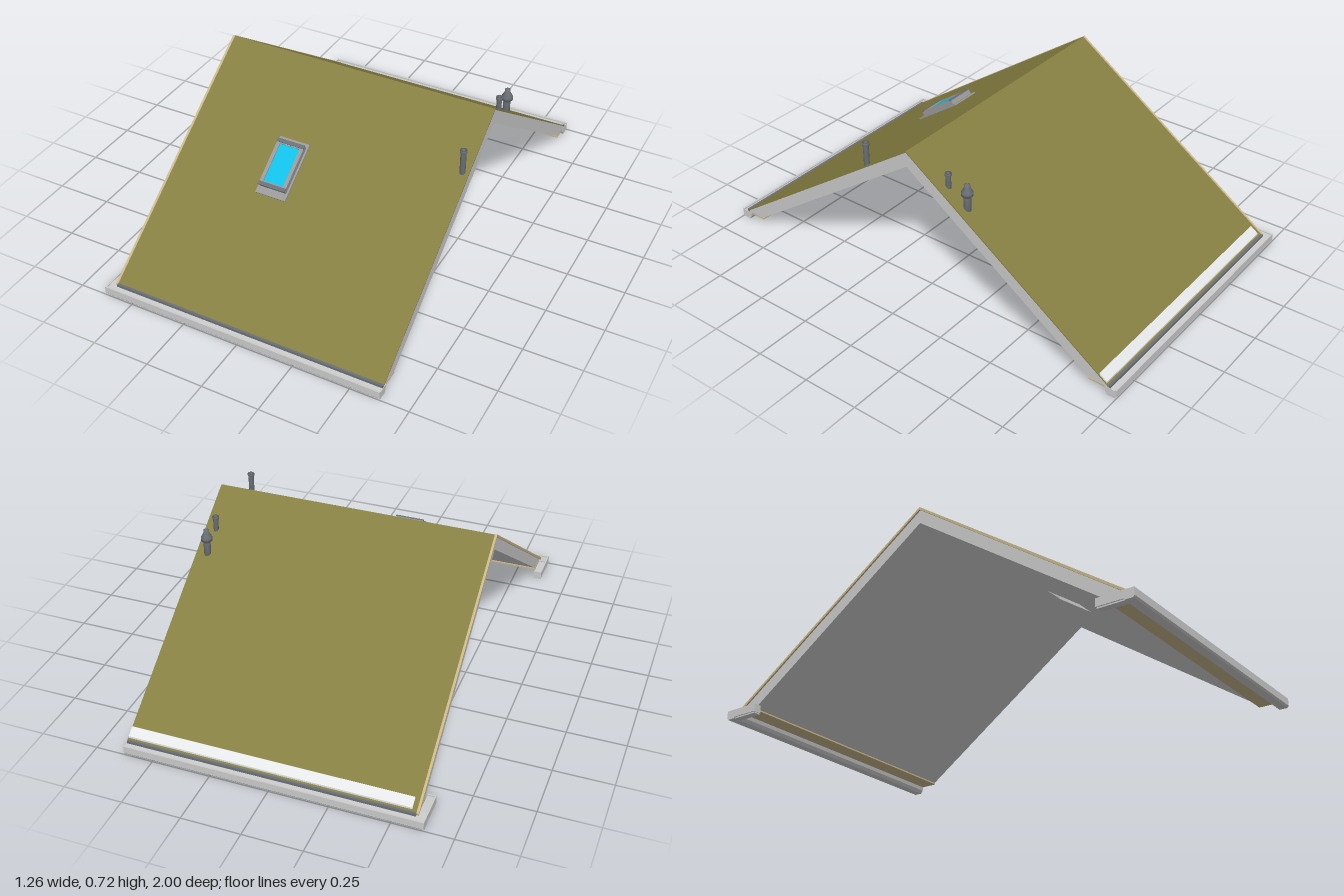
import * as THREE from 'three';

const SLOPE = 0.695, RIDGE = 0.715;
const mat = (color) => new THREE.MeshStandardMaterial({ color, side: THREE.DoubleSide });
const grey = mat(0xcccccc), roofing = mat(0x867f42), verge = mat(0xc8b78a);
const frameGrey = mat(0x999999), dark = mat(0x6a7076), glassBlue = mat(0x12c0e8);

function add(parent, name, geometry, material, x = 0, y = 0, z = 0) {
  const m = new THREE.Mesh(geometry, material);
  m.name = name;
  m.position.set(x, y, z);
  parent.add(m);
  return m;
}

function box(parent, name, material, x0, x1, y0, y1, z0, z1) {
  return add(parent, name, new THREE.BoxGeometry(x1 - x0, y1 - y0, z1 - z0), material,
    (x0 + x1) / 2, (y0 + y1) / 2, (z0 + z1) / 2);
}

const rectPoints = (x0, x1, z0, z1) =>
  [[x0, z0], [x1, z0], [x1, z1], [x0, z1]].map((p) => new THREE.Vector2(...p));

// Horizontal plate with an optional opening; its top lies at y = 0
function plate(outer, hole, thickness) {
  const shape = new THREE.Shape(rectPoints(...outer));
  if (hole) shape.holes.push(new THREE.Path(rectPoints(...hole)));
  return new THREE.ExtrudeGeometry(shape, { depth: thickness, bevelEnabled: false }).rotateX(Math.PI / 2);
}

// Plate sheared down the roof pitch, with its lower outer edge pulled in to foot
function pitched(outer, hole, top, thickness, foot = outer[3]) {
  const g = plate(outer, hole, thickness), p = g.attributes.position;
  for (let i = 0; i < p.count; i++) {
    const y = p.getY(i);
    let z = p.getZ(i);
    if (y < -thickness / 2 && z > outer[3] - 1e-4) z = foot;
    p.setXYZ(i, p.getX(i), top + y - SLOPE * z, z);
  }
  g.computeVertexNormals();
  return g;
}

// One roof side; s = -1 is the rear, turned half round the ridge
function roofSide(s) {
  const g = new THREE.Group();
  g.name = s > 0 ? 'frontRoofSide' : 'rearRoofSide';
  const span = (a, b) => (s > 0 ? [a, b] : [-b, -a]);
  const hole = s > 0 ? [-0.165, -0.075, 0.335, 0.485] : null;

  add(g, 'roofSlab', pitched([...span(-0.592, 0.625), 0, 0.97], hole, RIDGE - 0.005, 0.065, 0.87), grey);
  add(g, 'roofCovering', pitched([...span(-0.59, 0.627), 0, 0.965], hole, RIDGE, 0.005), roofing);
  add(g, 'vergeBoard', pitched([...span(-0.599, -0.589), 0, 0.965], null, RIDGE + 0.002, 0.012), verge);

  // Eaves cornice with an upstanding lip
  const profile = new THREE.Shape([[0.95, 0.014], [0.958, 0], [0.994, 0], [1, 0.008], [1, 0.04],
    [0.992, 0.04], [0.992, 0.034], [0.945, 0.038]].map((p) => new THREE.Vector2(...p)));
  const [x0, x1] = span(-0.63, 0.627);
  add(g, 'eavesCornice', new THREE.ExtrudeGeometry(profile, { depth: x1 - x0, bevelEnabled: false })
    .rotateY(-Math.PI / 2), grey, x1);
  box(g, 'dripEdge', dark, ...span(-0.59, 0.625), 0.036, 0.047, 0.957, 0.972);
  box(g, 'soffitBoard', verge, ...span(-0.592, 0.625), 0.03, 0.037, 0.87, 0.955);

  // Cornice return around the gable corner
  box(g, 'corniceReturn', grey, ...span(-0.625, -0.594), 0, 0.034, 0.843, 0.994);
  box(g, 'returnOuterLip', grey, ...span(-0.63, -0.624), 0.006, 0.04, 0.84, 1);
  box(g, 'returnEndLip', grey, ...span(-0.63, -0.594), 0.006, 0.04, 0.84, 0.846);

  if (s < 0) {
    add(g, 'snowGuardStrip', pitched([...span(-0.57, 0.625), 0.92, 0.955], null, RIDGE + 0.008, 0.012), mat(0xe4e6e8));
    g.rotation.y = Math.PI;
  }
  return g;
}

function skylight() {
  const g = new THREE.Group();
  g.name = 'skylight';
  g.position.set(-0.12, RIDGE - SLOPE * 0.405, 0.405);
  g.rotation.x = Math.atan(SLOPE);
  const opening = [-0.046, 0.046, -0.085, 0.085];
  add(g, 'flashing', plate([-0.07, 0.07, -0.122, 0.135], opening, 0.008), frameGrey, 0, 0.006);
  add(g, 'windowFrame', plate([-0.062, 0.062, -0.104, 0.104], opening, 0.028), frameGrey, 0, 0.028);
  box(g, 'glassPane', glassBlue, -0.046, 0.046, 0.02, 0.024, -0.086, 0.086);
  box(g, 'topCover', dark, -0.063, 0.063, 0.026, 0.032, -0.106, -0.09);
  box(g, 'bottomCover', dark, -0.063, 0.063, 0.026, 0.031, 0.09, 0.106);
  return g;
}

// Lathed flue from [radius, y] pairs
function vent(parent, name, x, z, points) {
  const pts = points.map((p) => new THREE.Vector2(...p));
  add(parent, name, new THREE.LatheGeometry(pts, 20), dark, x, 0, z);
}

export function createModel() {
  const model = new THREE.Group();
  model.name = 'gableRoof';
  model.add(roofSide(1), roofSide(-1), skylight());

  const pipe = (r, y0, y1) => [[0, y0], [r, y0], [r, y1 - 0.012], [r + 0.003, y1 - 0.01],
    [r + 0.003, y1], [r - 0.003, y1], [r - 0.003, y1 - 0.02], [0, y1 - 0.02]];
  vent(model, 'frontVentPipe', 0.598, 0.237, pipe(0.012, 0.535, 0.655));
  vent(model, 'rearVentPipe', 0.578, -0.17, pipe(0.011, 0.58, 0.658));
  vent(model, 'cowledVent', 0.578, -0.262, [[0, 0.515], [0.015, 0.515], [0.015, 0.583], [0.012, 0.588],
    [0.024, 0.594], [0.024, 0.608], [0.012, 0.63], [0.012, 0.642], [0, 0.65]]);
  return model;
}
